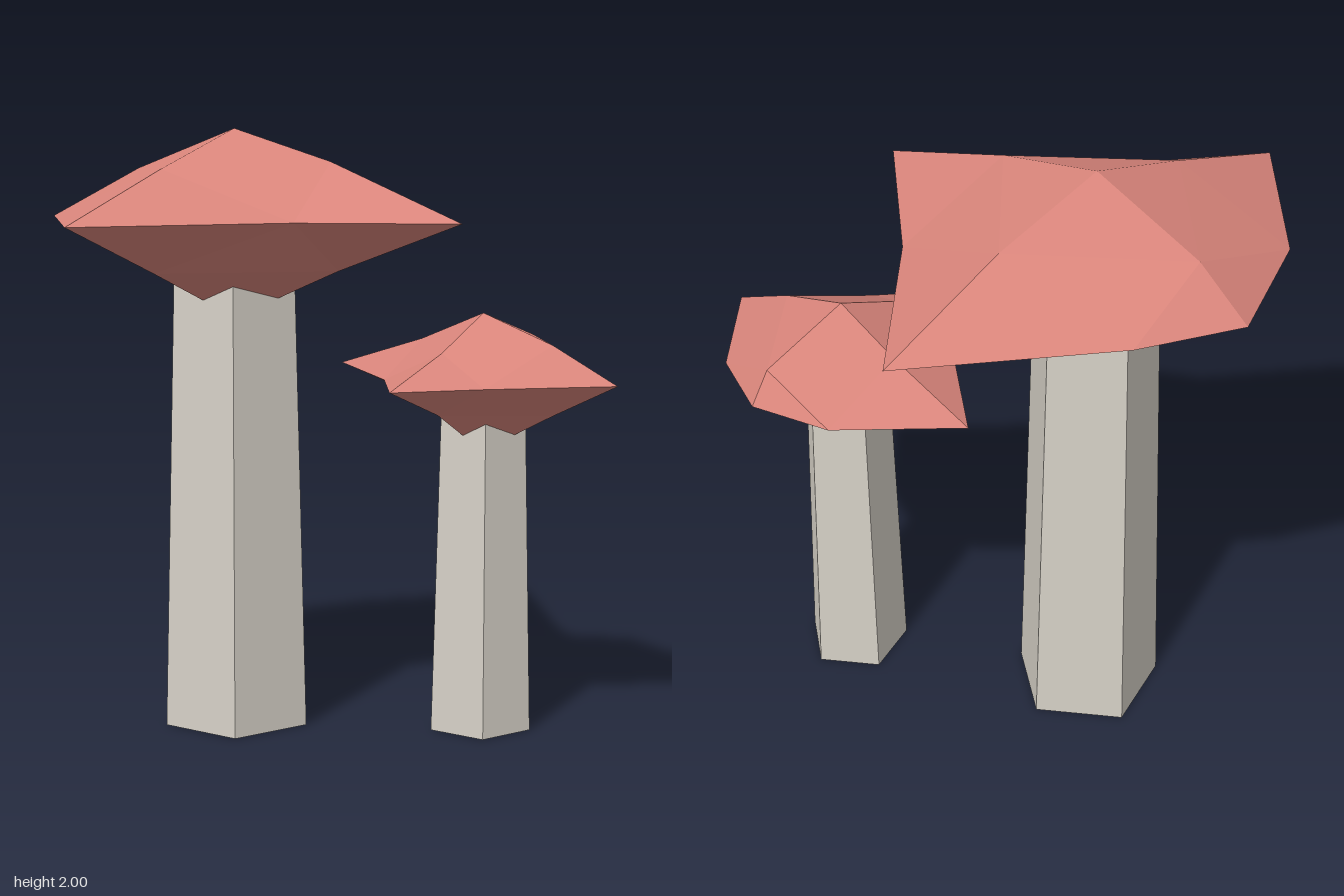
import * as THREE from 'three';

const capMaterial = new THREE.MeshStandardMaterial({ color: 0xd9857b, flatShading: true });
const stemMaterial = new THREE.MeshStandardMaterial({ color: 0xd6d1c7, flatShading: true });

// Faceted cap: a once-divided octahedron whose 18 corners are pulled to uneven offsets.
// Each corner is keyed by the signs of its x, y and z.
function makeCap(corners) {
  const geometry = new THREE.OctahedronGeometry(1, 1);
  const pos = geometry.attributes.position;
  const sign = (v) => (Math.abs(v) < 0.01 ? '0' : v > 0 ? '+' : '-');
  for (let i = 0; i < pos.count; i++) {
    const key = sign(pos.getX(i)) + sign(pos.getY(i)) + sign(pos.getZ(i));
    pos.setXYZ(i, ...corners[key]);
  }
  geometry.computeVertexNormals();
  return new THREE.Mesh(geometry, capMaterial);
}

// Mushroom standing at (x, z), with its cap's rim at the given height
function makeMushroom(name, x, z, rimHeight, baseRadius, topRadius, corners) {
  const group = new THREE.Group();
  group.name = name;
  group.position.set(x, 0, z);

  // Tapered five-sided stem, one corner pointing back
  const stem = new THREE.Mesh(
    new THREE.CylinderGeometry(topRadius, baseRadius, rimHeight, 5), stemMaterial);
  stem.name = 'stem';
  stem.rotation.y = Math.PI;
  stem.position.y = rimHeight / 2;

  const cap = makeCap(corners);
  cap.name = 'cap';
  cap.position.y = rimHeight;

  group.add(stem, cap);
  return group;
}

const largeCap = {
  // rim
  '+00': [0.89, 0, 0], '+0+': [0.44, 0, 0.27], '00+': [0, 0, 0.84], '-0+': [-0.42, 0, 0.42],
  '-00': [-0.6, 0, 0], '-0-': [-0.44, 0, -0.32], '00-': [0, 0, -0.89], '+0-': [0.44, 0, -0.39],
  // upper side
  '0+0': [0, 0.28, 0], '++0': [0.39, 0.18, 0], '-+0': [-0.41, 0.14, 0],
  '0++': [0, 0.16, 0.38], '0+-': [0, 0.18, -0.42],
  // underside
  '0-0': [0, -0.345, 0], '+-0': [0.42, -0.17, 0], '--0': [-0.3, -0.17, 0],
  '0-+': [0, -0.17, 0.42], '0--': [0, -0.13, -0.3],
};

const smallCap = {
  // rim
  '+00': [0.505, 0, 0], '+0+': [0.2, 0, 0.31], '00+': [0, 0, 0.55], '-0+': [-0.19, 0, 0.3],
  '-00': [-0.57, 0, 0], '-0-': [-0.265, 0, -0.31], '00-': [0, 0, -0.39], '+0-': [0.245, 0, -0.29],
  // upper side
  '0+0': [0, 0.205, 0], '++0': [0.265, 0.115, 0], '-+0': [-0.24, 0.105, 0],
  '0++': [0, 0.095, 0.25], '0+-': [0, 0.105, -0.32],
  // underside
  '0-0': [0, -0.255, 0], '+-0': [0.27, -0.115, 0], '--0': [-0.235, -0.095, 0],
  '0-+': [0, -0.105, 0.27], '0--': [0, -0.105, -0.24],
};

export function createModel() {
  const model = new THREE.Group();
  model.name = 'mushrooms';
  model.add(
    makeMushroom('largeMushroom', -0.31, 0.02, 1.72, 0.248, 0.204, largeCap),
    makeMushroom('smallMushroom', 0.405, -0.39, 1.195, 0.174, 0.143, smallCap));
  return model;
}
